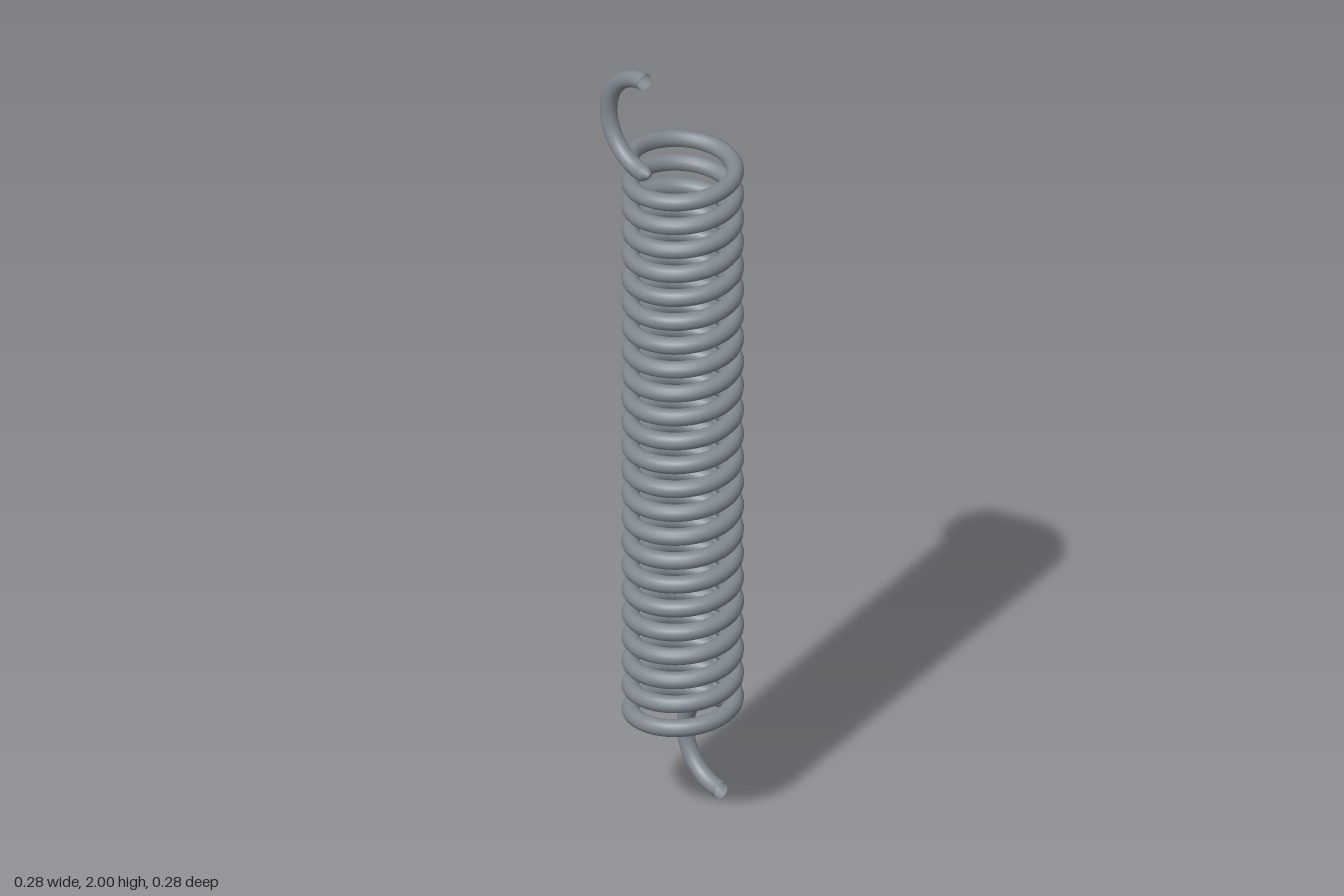
import * as THREE from 'three';

const COIL_R = 0.12;   // centre-line radius of coil and hooks
const WIRE_R = 0.0205; // wire thickness
const TURNS = 23.5;
const Y0 = 0.26, Y1 = 1.74;

class Helix extends THREE.Curve {
  getPoint(t, target = new THREE.Vector3()) {
    const a = t * TURNS * Math.PI * 2;
    return target.set(COIL_R * Math.cos(a), Y0 + (Y1 - Y0) * t, -COIL_R * Math.sin(a));
  }
}

// Half circle in the yz plane, bulging to the back
class HookArc extends THREE.Curve {
  constructor(x, yCentre) {
    super();
    this.x = x;
    this.yCentre = yCentre;
  }
  getPoint(t, target = new THREE.Vector3()) {
    const a = (t - 0.5) * Math.PI;
    return target.set(this.x, this.yCentre + COIL_R * Math.sin(a), -COIL_R * Math.cos(a));
  }
}

export function createModel() {
  const group = new THREE.Group();
  const steel = new THREE.MeshStandardMaterial({ color: 0x808890, side: THREE.DoubleSide });
  steel.name = 'steel';

  const add = (name, geometry) => {
    const mesh = new THREE.Mesh(geometry, steel);
    mesh.name = name;
    group.add(mesh);
    return mesh;
  };

  // Main coil
  const coil = new Helix();
  coil.arcLengthDivisions = 2000;
  add('coil', new THREE.TubeGeometry(coil, 1128, WIRE_R, 14));

  // Open-ended hooks, and the pinched bend where each meets the coil
  for (const [name, x, yHook, yBend] of [
    ['topHook', -COIL_R, Y1 + COIL_R, Y1],
    ['bottomHook', COIL_R, Y0 - COIL_R, Y0],
  ]) {
    add(name, new THREE.TubeGeometry(new HookArc(x, yHook), 40, WIRE_R, 14));
    const bend = add(name + 'Bend', new THREE.CylinderGeometry(0.006, WIRE_R, 0.019, 14));
    bend.rotation.x = Math.PI / 2;
    bend.position.set(x, yBend, 0.0095);
  }

  return group;
}
